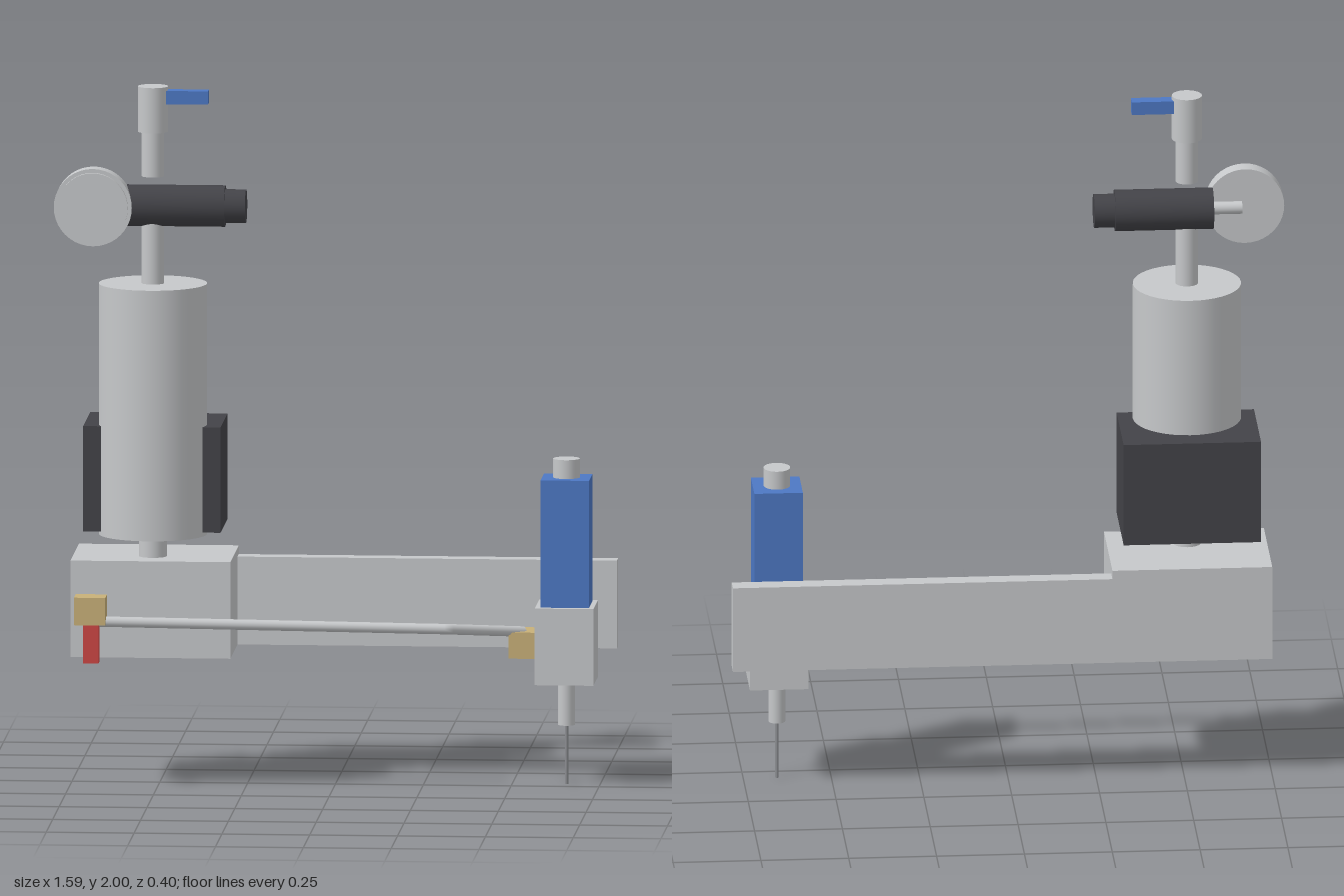
import * as THREE from 'three';

const mat = (name, color) => new THREE.MeshStandardMaterial({ name, color });

export function createModel() {
  const model = new THREE.Group();
  model.name = 'pneumaticDispenser';
  const grey = mat('light grey metal', 0xc6c8ca);
  const dark = mat('dark charcoal', 0x434348);
  const blue = mat('blue', 0x4d78c4);
  const red = mat('red', 0xcc4744);
  const tan = mat('brass', 0xc8b078);
  const needleGrey = mat('needle steel', 0x8c8e92);

  const add = (name, geometry, material, x, y, z) => {
    const mesh = new THREE.Mesh(geometry, material);
    mesh.name = name;
    mesh.position.set(x, y, z);
    model.add(mesh);
    return mesh;
  };
  // Box given by its limits on each axis
  const box = (name, material, [x0, x1], [y0, y1], [z0, z1]) =>
    add(name, new THREE.BoxGeometry(x1 - x0, y1 - y0, z1 - z0), material,
      (x0 + x1) / 2, (y0 + y1) / 2, (z0 + z1) / 2);
  // Cylinder running from a to b along one axis
  const rod = (name, material, axis, r, a, b, x, y, z, sides = 32) => {
    const geometry = new THREE.CylinderGeometry(r, r, b - a, sides);
    if (axis === 'x') geometry.rotateZ(-Math.PI / 2);
    if (axis === 'z') geometry.rotateX(Math.PI / 2);
    const mesh = add(name, geometry, material, x, y, z);
    mesh.position[axis] = (a + b) / 2;
    return mesh;
  };

  // Base block and rear mounting rail
  box('baseBlock', grey, [-0.745, -0.29], [0.375, 0.652], [-0.204, 0.128]);
  box('rearRail', grey, [-0.29, 0.79], [0.375, 0.627], [-0.204, -0.154]);

  // Reservoir with its bracket and neck
  const cx = -0.518, cz = 0.02;
  box('reservoirBracket', dark, [-0.713, -0.322], [0.728, 1.03], [-0.204, 0.073]);
  rod('lowerNeck', grey, 'y', 0.04, 0.652, 0.716, cx, 0, cz);
  rod('reservoir', grey, 'y', 0.154, 0.716, 1.435, cx, 0, cz, 40);
  rod('upperNeck', grey, 'y', 0.032, 1.435, 1.62, cx, 0, cz);

  // Pressure regulator and gauge
  const ry = 1.658;
  rod('regulatorBody', dark, 'x', 0.059, -0.592, -0.312, 0, ry, cz);
  rod('regulatorKnob', dark, 'x', 0.048, -0.312, -0.253, 0, ry, cz);
  rod('gaugeStem', grey, 'x', 0.018, -0.675, -0.592, 0, ry, cz);
  rod('gaugeBody', grey, 'z', 0.111, 0.03, 0.08, -0.685, ry, 0, 40);
  rod('gaugeFace', grey, 'z', 0.1, 0.08, 0.09, -0.685, ry, 0, 40);

  // Shut-off valve with lever
  rod('valveStem', grey, 'y', 0.032, 1.742, 1.87, cx, 0, cz);
  rod('valveBody', grey, 'y', 0.043, 1.87, 2, cx, 0, cz);
  box('valveLever', blue, [-0.48, -0.36], [1.951, 1.989], [0.001, 0.039]);

  // Dispensing head
  const hx = 0.654, hz = -0.051;
  box('headBlock', grey, [0.57, 0.737], [0.295, 0.515], [-0.14, 0.037]);
  box('actuator', blue, [0.585, 0.723], [0.515, 0.88], [-0.12, 0.018]);
  rod('actuatorCap', grey, 'y', 0.038, 0.88, 0.934, hx, 0, hz);
  rod('nozzle', grey, 'y', 0.024, 0.17, 0.295, hx, 0, hz);
  rod('needle', needleGrey, 'y', 0.005, 0, 0.17, hx, 0, hz, 12);

  // Fittings and the red plug
  box('inletFitting', tan, [-0.73, -0.641], [0.477, 0.556], [0.126, 0.2]);
  box('redPlug', red, [-0.705, -0.661], [0.366, 0.477], [0.143, 0.186]);
  box('headFitting', tan, [0.492, 0.57], [0.365, 0.44], [-0.108, 0]);

  // Bent feed tube
  const path = new THREE.CurvePath();
  const points = [[-0.66, 0.483, 0.163], [0.322, 0.466, 0.124], [0.532, 0.437, -0.042]]
    .map(p => new THREE.Vector3(...p));
  path.add(new THREE.LineCurve3(points[0], points[1]));
  path.add(new THREE.LineCurve3(points[1], points[2]));
  add('feedTube', new THREE.TubeGeometry(path, 60, 0.015, 12), grey, 0, 0, 0)
    .material.side = THREE.DoubleSide;

  return model;
}
